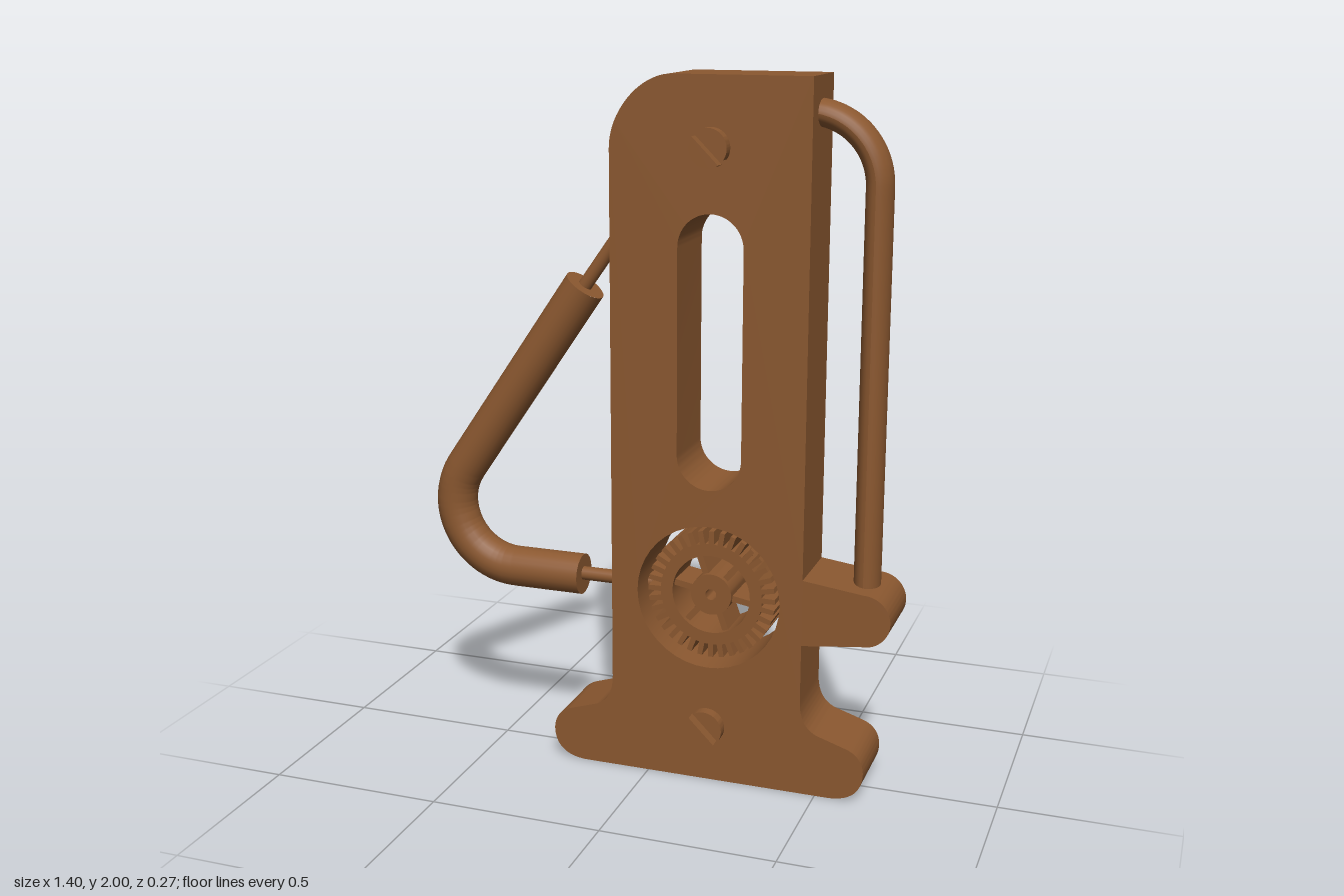
import * as THREE from 'three';
import { toCreasedNormals } from 'three/addons/utils/BufferGeometryUtils.js';

const HALF = 0.105; // half thickness of the body
const CX = 0.178; // centre line of the body
const GEAR_Y = 0.555;

export function createModel() {
  const model = new THREE.Group();
  const brown = new THREE.MeshStandardMaterial({ color: 0x8b5830 });
  brown.name = 'brown';

  const add = (geometry, name, parent = model) => {
    const mesh = new THREE.Mesh(geometry, brown);
    mesh.name = name;
    parent.add(mesh);
    return mesh;
  };
  // Extrudes a shape symmetrically about z = 0
  const slab = (shape, half, curveSegments = 20) => {
    const g = new THREE.ExtrudeGeometry(shape, { depth: half * 2, bevelEnabled: false, curveSegments });
    g.translate(0, 0, -half);
    return toCreasedNormals(g, 0.5);
  };
  const circle = (x, y, r) => new THREE.Path().absarc(x, y, r, 0, Math.PI * 2, true);
  const v = (x, y) => new THREE.Vector3(x, y, 0);
  const rod = (a, b, r, name) => {
    const mesh = add(new THREE.CylinderGeometry(r, r, a.distanceTo(b), 20), name);
    mesh.position.copy(a).lerp(b, 0.5);
    mesh.quaternion.setFromUnitVectors(v(0, 1), b.clone().sub(a).normalize());
  };
  // Straight run, circular bend, straight run
  const bentTube = (start, centre, bendR, a0, a1, end, r) => {
    const on = (a) => v(centre.x + bendR * Math.cos(a), centre.y + bendR * Math.sin(a));
    const points = [start];
    for (let i = 0; i <= 16; i++) points.push(on(a0 + ((a1 - a0) * i) / 16));
    points.push(end);
    const path = new THREE.CurvePath();
    for (let i = 1; i < points.length; i++) path.add(new THREE.LineCurve3(points[i - 1], points[i]));
    return new THREE.TubeGeometry(path, 120, r, 24);
  };

  // Body with foot, side arm, slot and gear opening
  const s = new THREE.Shape();
  s.moveTo(-0.19, 0);
  s.lineTo(0.535, 0);
  s.bezierCurveTo(0.61, 0, 0.638, 0.04, 0.638, 0.09);
  s.quadraticCurveTo(0.635, 0.142, 0.585, 0.158);
  s.lineTo(0.51, 0.182);
  s.quadraticCurveTo(0.452, 0.2, 0.452, 0.28);
  s.lineTo(0.452, 0.448);
  s.lineTo(0.62, 0.468);
  s.absarc(0.625, 0.543, 0.075, -Math.PI / 2, Math.PI / 2, false);
  s.lineTo(0.452, 0.64);
  s.lineTo(0.452, 2);
  s.lineTo(0.07, 2);
  s.bezierCurveTo(-0.02, 2, -0.11, 1.9, -0.11, 1.8);
  s.lineTo(-0.11, 0.28);
  s.quadraticCurveTo(-0.11, 0.2, -0.167, 0.182);
  s.lineTo(-0.242, 0.158);
  s.quadraticCurveTo(-0.292, 0.142, -0.295, 0.09);
  s.bezierCurveTo(-0.295, 0.04, -0.267, 0, -0.19, 0);
  const slot = new THREE.Path();
  slot.absarc(CX, 1.543, 0.093, 0, Math.PI, false);
  slot.absarc(CX, 0.963, 0.093, Math.PI, Math.PI * 2, false);
  slot.closePath();
  s.holes.push(slot, circle(CX, GEAR_Y, 0.21));
  add(slab(s, HALF), 'body');

  // Gear: toothed rim, spokes and hub
  const gear = new THREE.Group();
  gear.name = 'gear';
  gear.position.set(CX, GEAR_Y, 0);
  model.add(gear);
  const teeth = 36;
  const outline = [];
  for (let i = 0; i < teeth; i++) {
    for (const [t, r] of [[-0.3, 0.15], [-0.22, 0.188], [0.22, 0.188], [0.3, 0.15]]) {
      const a = ((i + t) / teeth) * Math.PI * 2;
      outline.push(new THREE.Vector2(r * Math.cos(a), r * Math.sin(a)));
    }
  }
  const rim = new THREE.Shape(outline);
  rim.holes.push(circle(0, 0, 0.115));
  add(slab(rim, 0.075), 'toothedRim', gear);
  const hub = new THREE.Shape().absarc(0, 0, 0.06, 0, Math.PI * 2, false);
  hub.holes.push(circle(0, 0, 0.016));
  add(slab(hub, 0.075), 'hub', gear);
  for (let i = 0; i < 6; i++) {
    const a = (50 * Math.PI) / 180 + (i * Math.PI) / 3;
    const spoke = add(new THREE.BoxGeometry(0.07, 0.018, 0.12), 'spoke', gear);
    spoke.position.set(0.088 * Math.cos(a), 0.088 * Math.sin(a), 0);
    spoke.rotation.z = a;
  }

  // Slotted screws, a pair of half discs on each face
  const cut = Math.asin(0.01 / 0.053);
  const half = new THREE.Shape().absarc(0, 0, 0.053, cut, Math.PI - cut, false);
  half.closePath();
  const halfGeo = slab(half, 0.016);
  for (const y of [0.167, 1.812]) {
    for (const side of [-1, 1]) {
      const screw = new THREE.Group();
      screw.name = 'screw';
      screw.position.set(CX, y, side * (HALF + 0.016));
      screw.rotation.z = -Math.PI / 4;
      for (const turn of [0, Math.PI]) add(halfGeo, 'screwHalf', screw).rotation.z = turn;
      model.add(screw);
    }
  }

  // Oval guard rail on the arm side
  const rail = bentTube(v(0.4, 1.905), v(0.42, 1.715), 0.19, Math.PI / 2, 0, v(0.61, 0.59), 0.037);
  rail.scale(1, 1, 1.48);
  rail.computeVertexNormals();
  add(rail, 'guardRail');

  // Bent grip with thin rods joining it to the body
  const low = v(-0.24, 0.542);
  const high = v(-0.225, 1.405);
  add(bentTube(low, v(-0.455, 0.732), 0.19, -Math.PI / 2, -Math.PI * 1.19, high, 0.06), 'grip');
  const lowCap = add(new THREE.CircleGeometry(0.06, 24), 'gripEnd');
  lowCap.position.copy(low);
  lowCap.rotation.y = Math.PI / 2;
  const highCap = add(new THREE.CircleGeometry(0.06, 24), 'gripEnd');
  highCap.position.copy(high);
  highCap.quaternion.setFromUnitVectors(new THREE.Vector3(0, 0, 1), v(0.563, 0.826).normalize());
  rod(v(-0.3, 0.545), v(-0.018, 0.545), 0.02, 'lowerRod');
  rod(v(-0.25, 1.37), v(-0.08, 1.61), 0.02, 'upperRod');

  return model;
}
